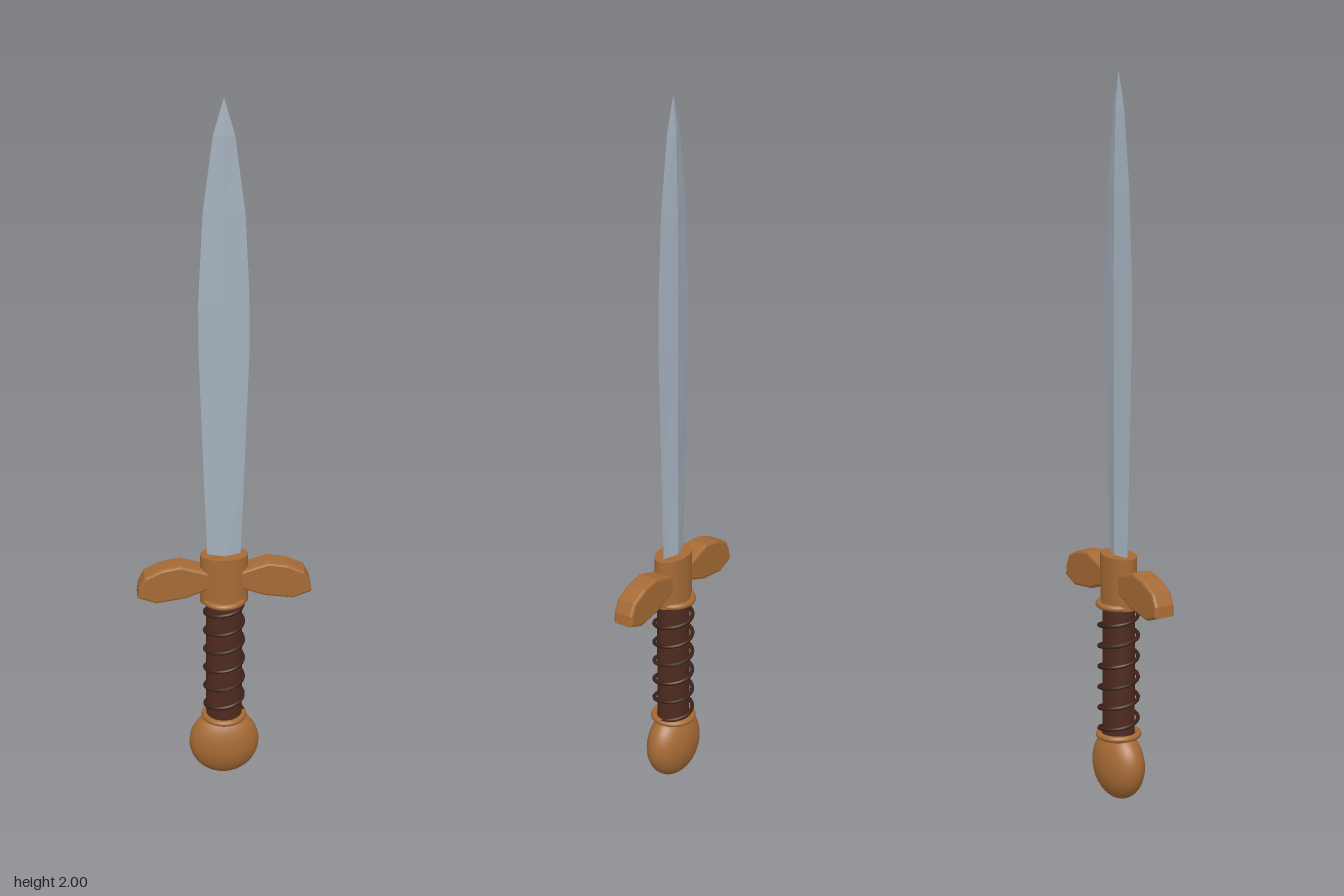
import * as THREE from 'three';

const material = (name, color) => {
  const m = new THREE.MeshStandardMaterial({ color });
  m.name = name;
  return m;
};

// Faceted diamond-section blade lofted through [height, half width, half thickness]
function bladeGeometry(sections) {
  const positions = [];
  const ring = ([y, w, t]) => [[w, y, 0], [0, y, t], [-w, y, 0], [0, y, -t]];
  for (let i = 0; i < sections.length - 1; i++) {
    const low = ring(sections[i]), high = ring(sections[i + 1]);
    for (let k = 0; k < 4; k++) {
      const n = (k + 1) % 4;
      positions.push(...low[k], ...high[k], ...low[n]);
      if (sections[i + 1][1] > 0) positions.push(...low[n], ...high[k], ...high[n]);
    }
  }
  const g = new THREE.BufferGeometry();
  g.setAttribute('position', new THREE.Float32BufferAttribute(positions, 3));
  g.computeVertexNormals();
  return g;
}

// Bevelled, drooping guard arm; side = 1 or -1 mirrors the outline
function armGeometry(side) {
  const outline = [[0.03, 0.62], [0.06, 0.605], [0.11, 0.586], [0.188, 0.575], [0.231, 0.591],
    [0.228, 0.615], [0.214, 0.644], [0.17, 0.665], [0.12, 0.674], [0.075, 0.66], [0.03, 0.645]];
  const shape = new THREE.Shape(outline.map(([x, y]) => new THREE.Vector2(side * x, y)));
  const g = new THREE.ExtrudeGeometry(shape, {
    depth: 0.044, bevelThickness: 0.008, bevelSize: 0.007, bevelSegments: 2,
  });
  return g.translate(0, 0, -0.022);
}

export function createModel() {
  const group = new THREE.Group();
  const steel = material('steel', 0xa5b1bd);
  const bronze = material('bronze', 0xa56a35);
  const leather = material('leather', 0x4e2a1f);
  const cord = material('cord', 0x3c2118);

  const add = (name, geometry, mat) => {
    const mesh = new THREE.Mesh(geometry, mat);
    mesh.name = name;
    group.add(mesh);
    return mesh;
  };

  // Leaf-shaped blade
  add('blade', bladeGeometry([
    [0.66, 0.044, 0.015], [0.95, 0.055, 0.015], [1.3, 0.067, 0.015], [1.45, 0.067, 0.015],
    [1.69, 0.055, 0.014], [1.9, 0.028, 0.009], [2, 0, 0],
  ]), steel);

  // Oval collar and the two drooping guard arms
  const collar = add('guardCollar', new THREE.CylinderGeometry(0.066, 0.066, 0.145, 32), bronze);
  collar.position.y = 0.628;
  collar.scale.z = 0.64;
  add('leftGuardArm', armGeometry(1), bronze);
  add('rightGuardArm', armGeometry(-1), bronze);

  // Oval grip
  const grip = add('grip', new THREE.CylinderGeometry(0.05, 0.05, 0.39, 32), leather);
  grip.position.y = 0.375;
  grip.scale.z = 0.84;

  // Thin cord wound around the grip
  const turns = 6, steps = turns * 16, points = [];
  for (let i = 0; i <= steps; i++) {
    const a = (i / steps) * turns * Math.PI * 2;
    points.push(new THREE.Vector3(0.053 * Math.cos(a), 0.195 + 0.355 * i / steps, -0.053 * Math.sin(a)));
  }
  add('gripCord', new THREE.TubeGeometry(new THREE.CatmullRomCurve3(points), 200, 0.0055, 8), cord);

  // Rings at both ends of the grip
  for (const [name, y] of [['upperRing', 0.562], ['lowerRing', 0.188]]) {
    const ring = add(name, new THREE.TorusGeometry(0.054, 0.009, 10, 36), bronze);
    ring.rotation.x = Math.PI / 2;
    ring.position.y = y;
  }

  // Flattened round pommel
  const pommel = add('pommel', new THREE.SphereGeometry(0.098, 32, 24), bronze);
  pommel.position.y = 0.102;
  pommel.scale.set(1, 1.02, 0.62);

  return group;
}
